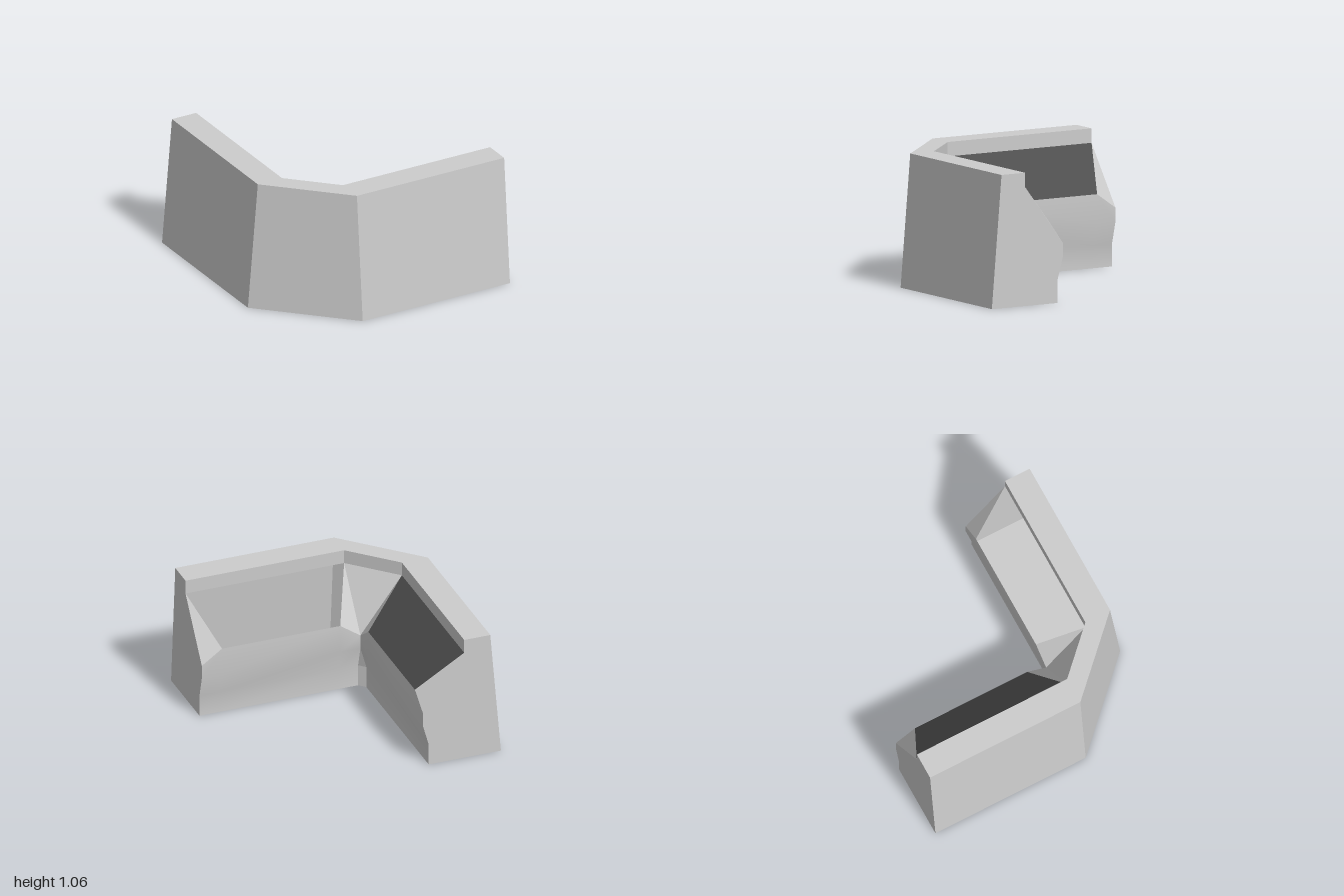
import * as THREE from 'three';

const body = new THREE.MeshStandardMaterial({ color: 0xcccccc, side: THREE.DoubleSide });
body.name = 'light grey';
const dark = new THREE.MeshStandardMaterial({ color: 0x4e4e4e, side: THREE.DoubleSide });
dark.name = 'dark grey';

// Arm extent along its length, and the panel's narrower lower edge
const S0 = -0.34, S1 = 1, P0 = -0.17, P1 = 0.83;

// Cross-section [depth, height], from the outer foot over the rim to the inner foot
const profile = [
  [1, 0], [0.91, 1.06], [0.69, 1.06], [0.69, 0.945],
  [0.34, 0.475], [0.34, 0.36], [0.39, 0.18], [0.39, 0],
];

// Arm space (along, height, depth) to model space
const front = ([s, y, d]) => [s, y, d];
const side = ([s, y, d]) => [-d, y, -s];

// Flat-shaded mesh from convex or fan-shaped polygons
function flatMesh(name, material, polygons, flip = false) {
  const pos = [];
  for (const p of polygons) {
    for (let i = 1; i < p.length - 1; i++) {
      const tri = flip ? [p[0], p[i + 1], p[i]] : [p[0], p[i], p[i + 1]];
      pos.push(...tri.flat());
    }
  }
  const geo = new THREE.BufferGeometry();
  geo.setAttribute('position', new THREE.Float32BufferAttribute(pos, 3));
  geo.computeVertexNormals();
  const mesh = new THREE.Mesh(geo, material);
  mesh.name = name;
  return mesh;
}

// Smooth inner wall: raised lip in the middle, recessed foot below
function innerWall(map, flip) {
  const along = [S0, P0, P1, S1];
  const rows = [
    [0.34, [0.475, 0.595, 0.595, 0.475]],
    [0.34, [0.36, 0.36, 0.36, 0.36]],
    [0.39, [0.18, 0.18, 0.18, 0.18]],
    [0.39, [0, 0, 0, 0]],
  ];
  const pos = [], index = [];
  for (const [d, heights] of rows) along.forEach((s, i) => pos.push(...map([s, heights[i], d])));
  for (let r = 0; r < 3; r++) {
    for (let i = 0; i < 3; i++) {
      const a = r * 4 + i, b = a + 1, c = a + 5, e = a + 4;
      index.push(...(flip ? [a, c, b, a, e, c] : [a, b, c, a, c, e]));
    }
  }
  const geo = new THREE.BufferGeometry();
  geo.setAttribute('position', new THREE.Float32BufferAttribute(pos, 3));
  geo.setIndex(index);
  geo.computeVertexNormals();
  const mesh = new THREE.Mesh(geo, body);
  mesh.name = 'innerWall';
  return mesh;
}

function arm(name, map, flip, hasPanel) {
  const g = new THREE.Group();
  g.name = name;
  const add = (part, mat, polys) => g.add(flatMesh(part, mat, polys.map(p => p.map(map)), flip));
  // Strip along the arm between two profile points
  const strip = (i, j) => {
    const [d, y] = profile[i], [e, h] = profile[j];
    return [[S0, y, d], [S1, y, d], [S1, h, e], [S0, h, e]];
  };
  add('outerWall', body, [strip(0, 1)]);
  add('rim', body, [strip(1, 2), strip(2, 3)]);
  add('base', body, [strip(7, 0)]);
  // End cap, fanned from the notch under the rim
  const order = [3, 2, 1, 0, 7, 6, 5, 4];
  add('endCap', body, [order.map(i => [S1, profile[i][1], profile[i][0]])]);
  // Triangular cheeks either side of the sloped opening
  add('cheeks', body, [
    [[S1, 0.945, 0.69], [S1, 0.475, 0.34], [P1, 0.595, 0.34]],
    [[S0, 0.945, 0.69], [P0, 0.595, 0.34], [S0, 0.475, 0.34]],
  ]);
  g.add(innerWall(map, flip));
  // The front arm's opening stays open into the hollow shell
  if (hasPanel) {
    add('slopedPanel', dark, [
      [[S1, 0.945, 0.69], [P1, 0.595, 0.34], [P0, 0.595, 0.34], [S0, 0.945, 0.69]],
    ]);
  }
  return g;
}

// Chamfered corner joining the two arm sections
function corner() {
  const polys = [];
  profile.forEach(([d, y], i) => {
    const [e, h] = profile[(i + 1) % profile.length];
    const a = [S0, y, d], b = [S0, h, e];
    if (d === 0.34 && e === 0.34) return;
    if (d === 0.34) polys.push([side(a), front(b), side(b)]);
    else if (e === 0.34) polys.push([side(a), front(a), front(b)]);
    else polys.push([side(a), front(a), front(b), side(b)]);
  });
  return flatMesh('corner', body, polys);
}

export function createModel() {
  const model = new THREE.Group();
  model.name = 'cornerConsole';
  model.add(arm('frontArm', front, false, false));
  model.add(arm('sideArm', side, true, true));
  model.add(corner());
  return model;
}
